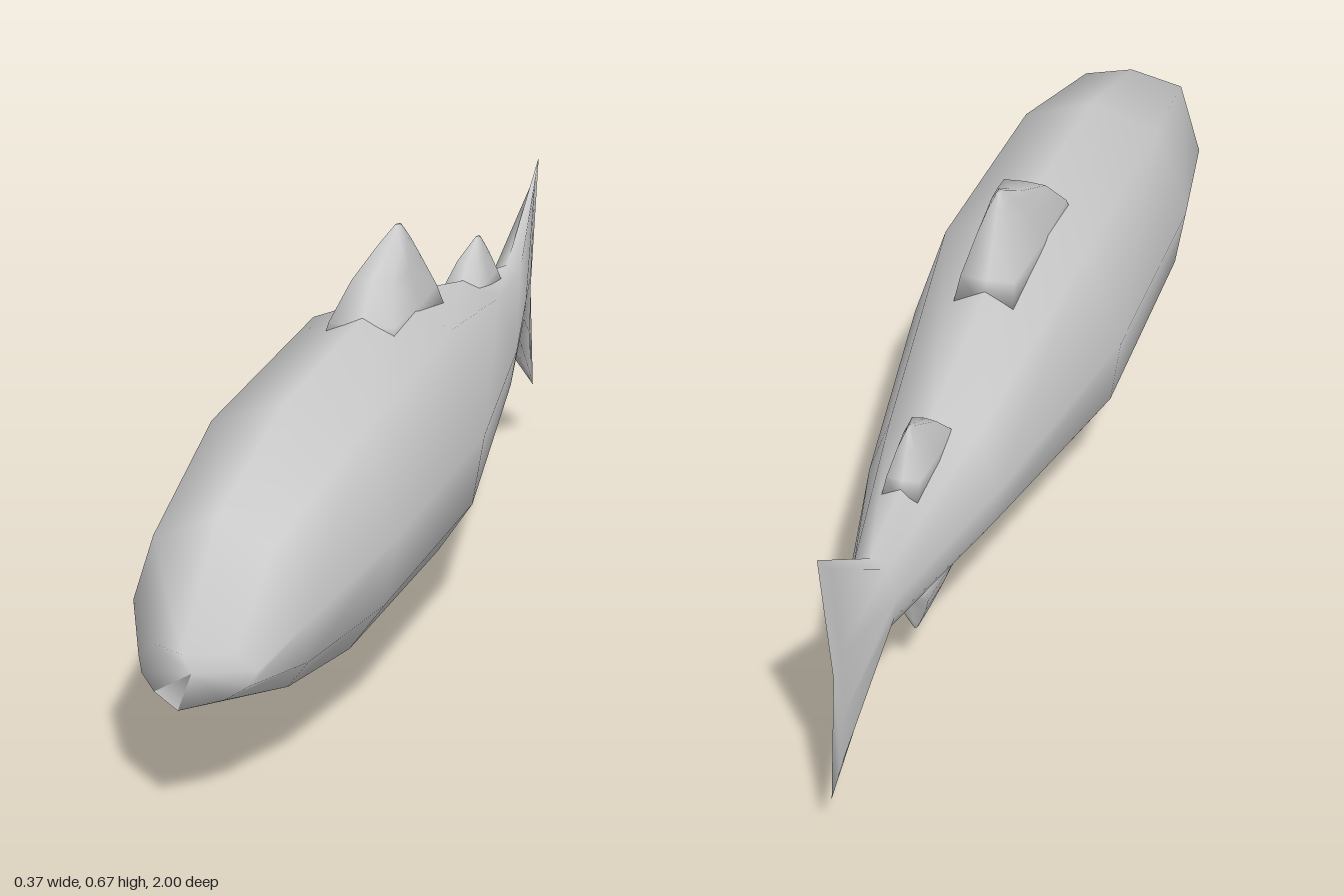
import * as THREE from 'three';

const material = new THREE.MeshStandardMaterial({ color: 0xcccccc });

// Skin a list of equal-sized rings and close both ends with a fan.
function loft(name, rings) {
  const n = rings[0].length;
  const pos = rings.flat(2);
  const index = [];
  for (let i = 0; i < rings.length - 1; i++) {
    for (let j = 0; j < n; j++) {
      const a = i * n + j, b = i * n + (j + 1) % n;
      index.push(a, b, a + n, b, b + n, a + n);
    }
  }
  [0, rings.length - 1].forEach((r, end) => {
    const centre = pos.length / 3;
    for (let k = 0; k < 3; k++) {
      // halfway between the first and the opposite point keeps the cap on the middle line
      pos.push(rings[r].reduce((s, p) => s + p[k], 0) / n);
    }
    for (let j = 0; j < n; j++) {
      const a = r * n + j, b = r * n + (j + 1) % n;
      if (end) index.push(centre, a, b);
      else index.push(centre, b, a);
    }
  });
  const geometry = new THREE.BufferGeometry();
  geometry.setAttribute('position', new THREE.Float32BufferAttribute(pos, 3));
  geometry.setIndex(index);
  geometry.computeVertexNormals();
  const mesh = new THREE.Mesh(geometry, material);
  mesh.name = name;
  return mesh;
}

// Half outline of the body: [share of half width, share of height]
const half = [[0, 1], [0.67, 0.9], [1, 0.52], [0.9, 0.26], [0.58, 0.07], [0, 0]];
const outline = [...half, ...half.slice(1, -1).reverse().map(([x, y]) => [-x, y])];

// Body ring; sweep moves the flanks along z (bowed nose, forked tail)
const bodyRing = ([zTop, yTop, zBottom, yBottom, width, sweep]) =>
  outline.map(([x, t]) => [
    x * width,
    yBottom + (yTop - yBottom) * t,
    zBottom + (zTop - zBottom) * t + sweep * Math.abs(x),
  ]);

// Fin ring: flat loop with slightly bowed front and back edges
const finRing = ([y, w, front, back]) => [
  [w, y, front], [w, y, (front + back) / 2], [w * 0.8, y, back], [0, y, back - 0.004],
  [-w * 0.8, y, back], [-w, y, (front + back) / 2], [-w, y, front], [0, y, front + 0.004],
];

export function createModel() {
  const group = new THREE.Group();
  group.name = 'fish';

  // Body and forked tail: [zTop, yTop, zBottom, yBottom, half width, sweep]
  const sections = [
    [0.98, 0.27, 1.0, 0.19, 0.095, -0.075],
    [0.83, 0.43, 0.72, 0.118, 0.142, 0.04],
    [0.52, 0.52, 0.53, 0.09, 0.185, 0],
    [0.02, 0.56, 0.05, 0.085, 0.187, 0],
    [-0.45, 0.465, -0.45, 0.205, 0.11, 0],
    [-0.77, 0.415, -0.77, 0.27, 0.04, 0],
    [-1.0, 0.58, -0.98, 0.11, 0.006, 0.06],
  ];
  group.add(loft('body', sections.map(bodyRing)));

  // Fins, rings from low to high: [y, half width, front z, back z]
  const fins = {
    dorsalFin: [
      [0.5, 0.065, 0.16, -0.17], [0.54, 0.058, 0.14, -0.145],
      [0.6, 0.037, 0.08, -0.107], [0.64, 0.02, -0.015, -0.085], [0.665, 0.005, -0.062, -0.072],
    ],
    rearDorsalFin: [
      [0.42, 0.038, -0.43, -0.63], [0.45, 0.034, -0.455, -0.605],
      [0.49, 0.02, -0.495, -0.585], [0.522, 0.004, -0.56, -0.57],
    ],
    pelvicFin: [
      [0.0, 0.004, -0.025, -0.035], [0.02, 0.014, 0.02, -0.04],
      [0.06, 0.028, 0.1, -0.05], [0.09, 0.04, 0.14, -0.065], [0.13, 0.045, 0.16, -0.09],
    ],
    analFin: [
      [0.122, 0.004, -0.55, -0.56], [0.14, 0.014, -0.49, -0.565],
      [0.17, 0.028, -0.405, -0.573], [0.2, 0.038, -0.37, -0.583], [0.25, 0.042, -0.36, -0.605],
    ],
  };
  for (const [name, rings] of Object.entries(fins)) group.add(loft(name, rings.map(finRing)));

  return group;
}
